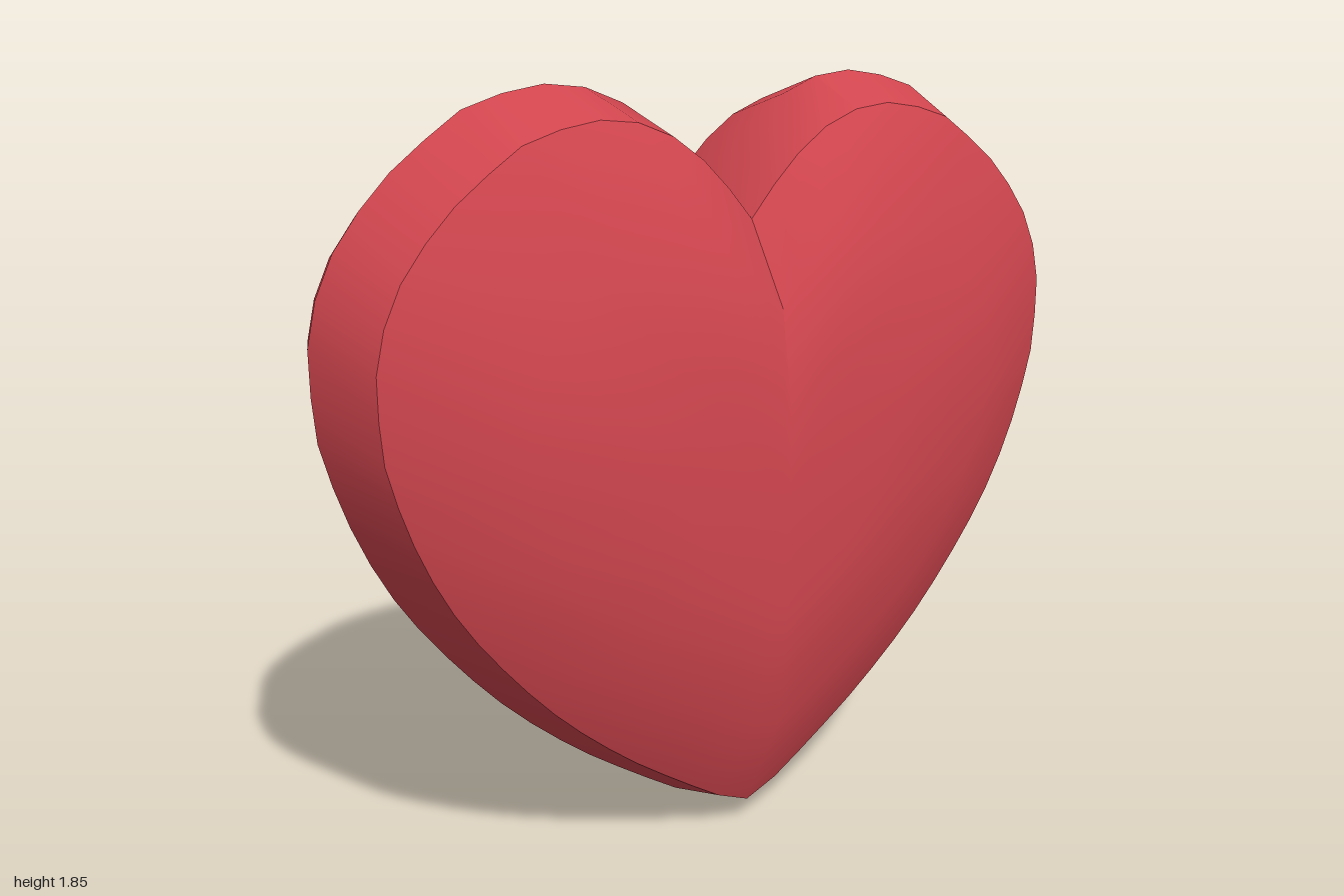
import * as THREE from 'three';
import { toCreasedNormals } from 'three/addons/utils/BufferGeometryUtils.js';

const CENTRE_Y = 0.92;

// Closed heart outline, counter-clockwise seen from the front, starting at the tip
function heartOutline() {
  const half = [
    [0, 0], [0.06, 0.02], [0.21, 0.115], [0.4, 0.25], [0.6, 0.43], [0.79, 0.66],
    [0.9, 0.85], [0.97, 1.04], [1, 1.18], [1, 1.33], [0.97, 1.45], [0.91, 1.56],
    [0.8, 1.68], [0.7, 1.755], [0.6, 1.815], [0.42, 1.85], [0.3, 1.832],
    [0.2, 1.785], [0.1, 1.703], [0, 1.59],
  ].map(([x, y]) => new THREE.Vector2(x, y));
  const right = new THREE.SplineCurve(half).getSpacedPoints(30);
  right.forEach((p) => { p.x = Math.min(p.x, 1); p.y = Math.max(p.y, 0); });
  const left = right.slice(1, -1).reverse().map((p) => new THREE.Vector2(-p.x, p.y));
  return [...right, ...left];
}

// Loops of the outline, shrunk towards the centre from the rim to both faces
function heartGeometry() {
  const outline = heartOutline();
  const n = outline.length;
  const front = [[1, 0], [0.93, 0.187], [0.65, 0.31], [0.3, 0.347]];
  const loops = [...front.slice(1).reverse().map(([s, z]) => [s, -z]), ...front];
  const positions = [];
  const index = [];
  for (const [s, z] of loops) {
    for (const p of outline) positions.push(p.x * s, CENTRE_Y + (p.y - CENTRE_Y) * s, z);
  }
  const back = loops.length * n;
  positions.push(0, CENTRE_Y, -0.347, 0, CENTRE_Y, 0.347);

  for (let i = 0; i < n; i++) {
    const j = (i + 1) % n;
    // Bands between neighbouring loops
    for (let k = 0; k < loops.length - 1; k++) {
      const a = k * n + i, b = k * n + j;
      index.push(a, b, b + n, a, b + n, a + n);
    }
    // Flat middle of the back and front
    const last = (loops.length - 1) * n;
    index.push(back, j, i, back + 1, last + i, last + j);
  }
  const geometry = new THREE.BufferGeometry();
  geometry.setAttribute('position', new THREE.Float32BufferAttribute(positions, 3));
  geometry.setIndex(index);
  return toCreasedNormals(geometry, 0.6);
}

export function createModel() {
  const group = new THREE.Group();
  group.name = 'heart';
  const red = new THREE.MeshStandardMaterial({ color: 0xd2464f });
  red.name = 'red';
  const body = new THREE.Mesh(heartGeometry(), red);
  body.name = 'heartBody';
  group.add(body);
  return group;
}
